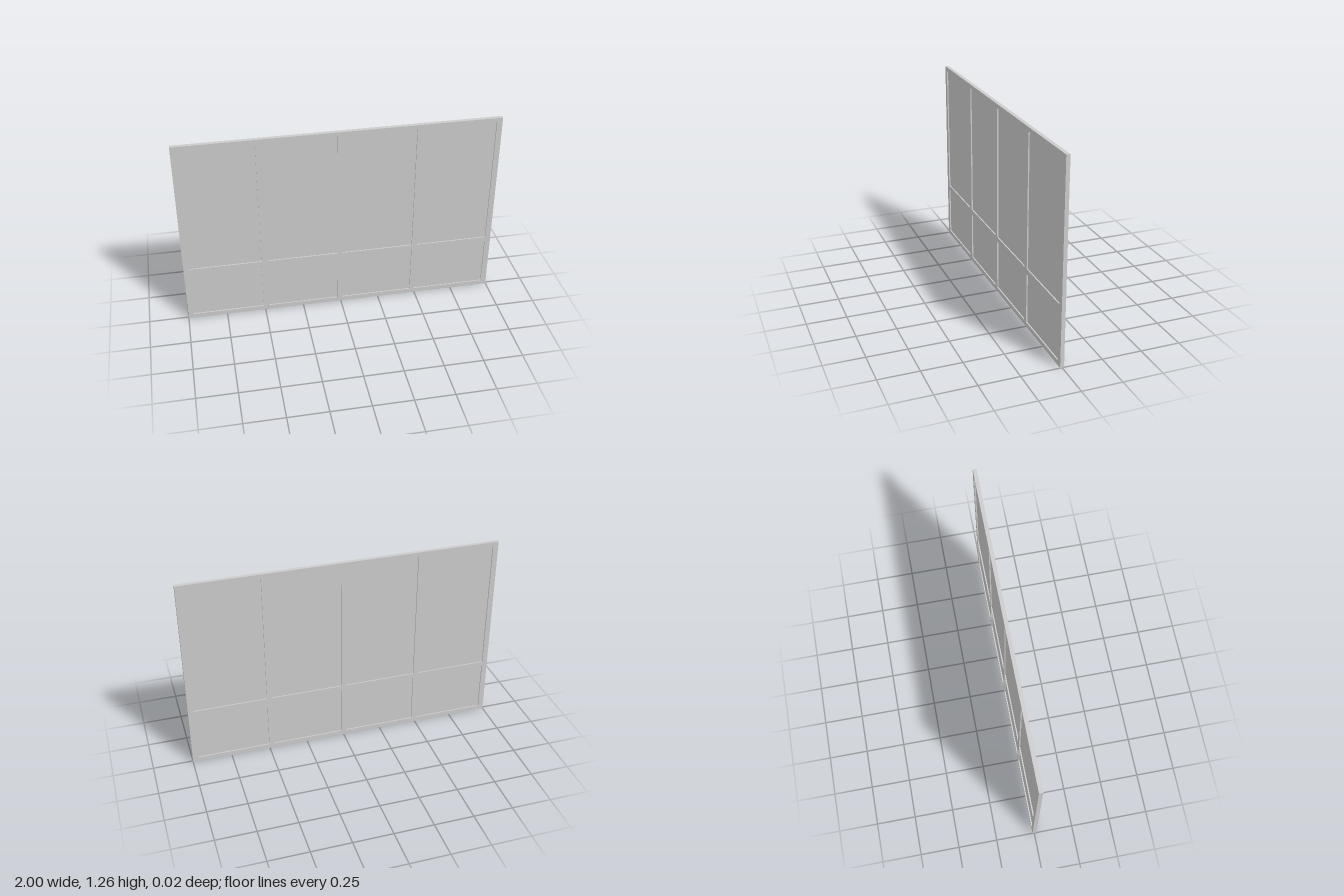
import * as THREE from 'three';

const HEIGHT = 1.262, DEPTH = 0.024, PANE = 0.008;
// opening extents: four columns by two rows
const COLUMNS = [[-0.966, -0.51], [-0.476, -0.02], [0.012, 0.469], [0.501, 0.965]];
const ROWS = [[0.03, 0.352], [0.386, 1.235]];

function rectangle(path, x0, y0, x1, y1) {
  path.moveTo(x0, y0);
  path.lineTo(x1, y0);
  path.lineTo(x1, y1);
  path.lineTo(x0, y1);
  path.closePath();
  return path;
}

export function createModel() {
  const group = new THREE.Group();
  group.name = 'windowWall';
  const material = new THREE.MeshStandardMaterial({ color: 0xcccccc });

  // outer frame, mullions and cross rail in one piece
  const outline = rectangle(new THREE.Shape(), -1, 0, 1, HEIGHT);
  const panes = new THREE.Group();
  panes.name = 'panes';

  for (const [x0, x1] of COLUMNS) {
    for (const [y0, y1] of ROWS) {
      outline.holes.push(rectangle(new THREE.Path(), x0, y0, x1, y1));

      // recessed pane, seated slightly into the frame
      const pane = new THREE.Mesh(
        new THREE.BoxGeometry(x1 - x0 + 0.01, y1 - y0 + 0.01, PANE), material);
      pane.position.set((x0 + x1) / 2, (y0 + y1) / 2, 0);
      pane.name = y0 < 0.2 ? 'lowerPane' : 'upperPane';
      panes.add(pane);
    }
  }

  const geometry = new THREE.ExtrudeGeometry(outline, { depth: DEPTH, bevelEnabled: false });
  geometry.translate(0, 0, -DEPTH / 2);
  const frame = new THREE.Mesh(geometry, material);
  frame.name = 'frame';

  group.add(frame, panes);
  return group;
}
